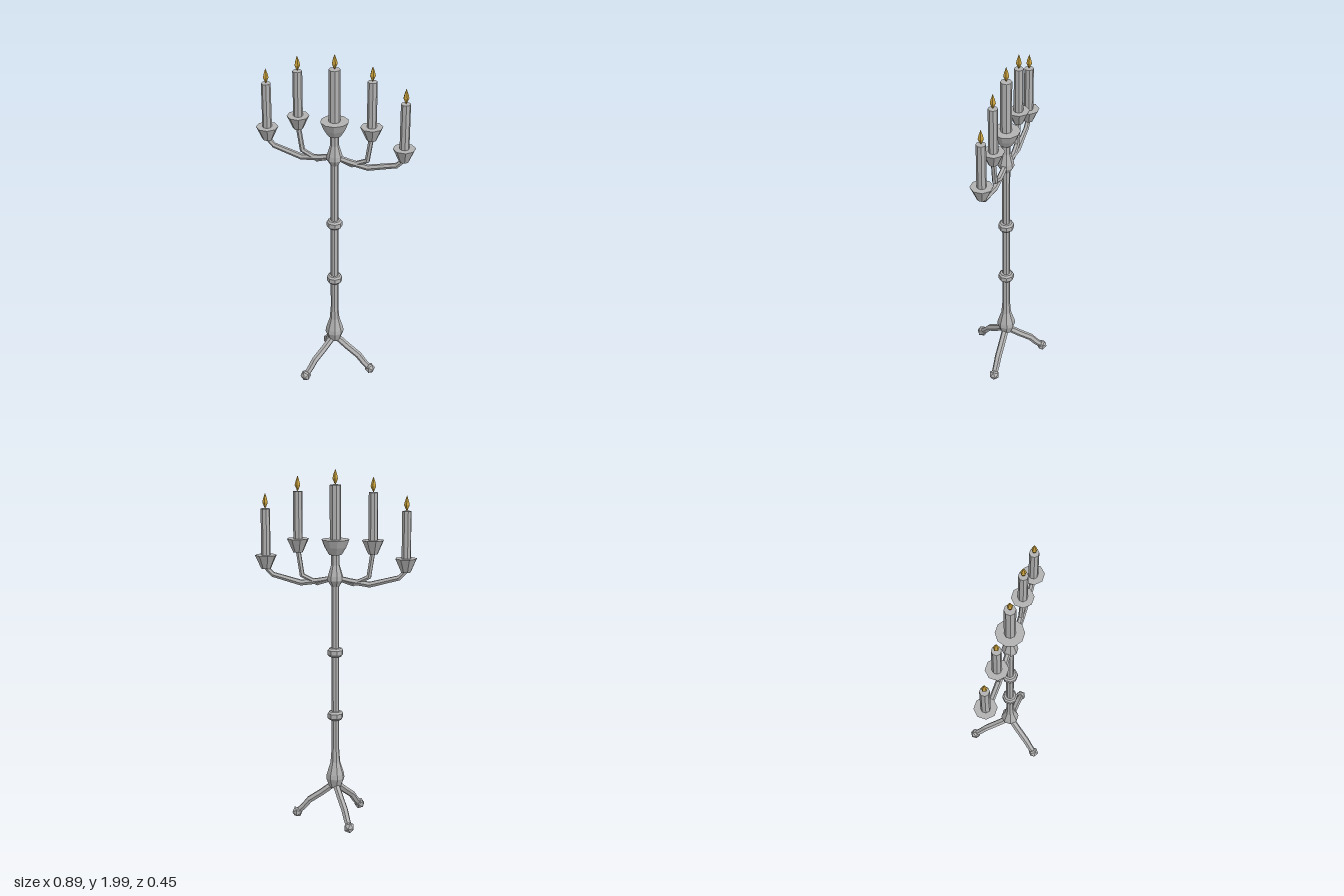
import * as THREE from 'three';

const metal = new THREE.MeshStandardMaterial({ color: 0xb2b2b2 });
metal.name = 'greyMetal';
const gold = new THREE.MeshStandardMaterial({ color: 0xc8a03c });
gold.name = 'flameGold';

// Faceted mesh: every face keeps its own normal
function part(name, geometry, material = metal) {
  const flat = geometry.toNonIndexed();
  flat.computeVertexNormals();
  const mesh = new THREE.Mesh(flat, material);
  mesh.name = name;
  return mesh;
}

// Turned shape from [radius, height] pairs, bottom to top
function turned(name, profile, sides, material, start = Math.PI / sides) {
  const pts = profile.map(([r, y]) => new THREE.Vector2(r, y));
  return part(name, new THREE.LatheGeometry(pts, sides, start), material);
}

// Bent bar swept along a polyline in the xy plane, points are [x, y, radius]
function bar(name, path, sides = 6) {
  const pos = [], index = [];
  path.forEach(([x, y, r], i) => {
    const p = path[Math.max(i - 1, 0)], q = path[Math.min(i + 1, path.length - 1)];
    const t = new THREE.Vector2(q[0] - p[0], q[1] - p[1]).normalize();
    for (let j = 0; j < sides; j++) {
      const a = ((j + 0.5) / sides) * Math.PI * 2;
      const n = r * Math.cos(a);
      pos.push(x - t.y * n, y + t.x * n, r * Math.sin(a));
      if (i === path.length - 1) continue;
      const k = (j + 1) % sides, u = i * sides, v = u + sides;
      index.push(u + j, u + k, v + k, u + j, v + k, v + j);
    }
  });
  const g = new THREE.BufferGeometry();
  g.setAttribute('position', new THREE.Float32BufferAttribute(pos, 3));
  g.setIndex(index);
  return part(name, g);
}

// Drip cup, candle and flame
function candleHolder(name, x, cupY, cupProfile, cupSides, candleR, candleTop) {
  const g = new THREE.Group();
  g.name = name;
  const cup = turned('cup', cupProfile, cupSides);
  cup.position.y = cupY;
  const rim = cupY + cupProfile[cupProfile.length - 1][1];
  const candle = turned('candle',
    [[candleR, rim - 0.01], [candleR, candleTop], [0, candleTop]], 8);
  const flame = turned('flame',
    [[0, 0], [0.005, 0.008], [0.016, 0.033], [0.011, 0.055], [0, 0.085]], 5, gold);
  flame.position.y = candleTop;
  g.add(cup, candle, flame);
  g.position.x = x;
  return g;
}

export function createModel() {
  const model = new THREE.Group();
  model.name = 'candelabrum';

  // Central stem with bulb at the foot and knob under the top cup
  model.add(turned('stem', [
    [0, 0.2], [0.033, 0.2], [0.053, 0.255], [0.05, 0.28], [0.028, 0.35], [0.022, 0.43],
    [0.022, 1.36], [0.044, 1.395], [0.042, 1.42], [0.024, 1.48], [0.024, 1.55],
  ], 8));

  // Collars
  for (const y of [0.625, 0.99]) {
    const collar = turned('collar', [
      [0.021, -0.025], [0.034, -0.024], [0.044, -0.013],
      [0.044, 0.013], [0.034, 0.024], [0.021, 0.025],
    ], 8);
    collar.position.y = y;
    model.add(collar);
  }

  // Three legs with ball feet
  for (let i = 0; i < 3; i++) {
    const leg = new THREE.Group();
    leg.name = 'leg';
    const foot = part('foot', new THREE.IcosahedronGeometry(0.031, 0));
    foot.scale.y = 1.05;
    foot.position.set(0.222, 0.034, 0);
    leg.add(foot, bar('legBar', [
      [0, 0.225, 0.02], [0.08, 0.162, 0.02], [0.15, 0.113, 0.02],
      [0.185, 0.07, 0.019], [0.222, 0.036, 0.017],
    ]));
    leg.rotation.y = (i * Math.PI * 2) / 3;
    model.add(leg);
  }

  // Arms, mirrored left and right
  const outerArm = [[0, 1.41, 0.015], [0.08, 1.392, 0.017], [0.19, 1.376, 0.017],
    [0.35, 1.418, 0.015], [0.39, 1.46, 0.014]];
  const innerArm = [[0, 1.41, 0.014], [0.1, 1.378, 0.015],
    [0.185, 1.418, 0.015], [0.207, 1.56, 0.014]];
  for (const turn of [0, Math.PI]) {
    const arms = new THREE.Group();
    arms.name = turn ? 'rightArms' : 'leftArms';
    arms.add(bar('outerArm', outerArm), bar('innerArm', innerArm));
    arms.rotation.y = turn;
    model.add(arms);
  }

  // Candle holders
  const smallCup = [[0, 0], [0.027, 0], [0.044, 0.038], [0.061, 0.075], [0, 0.075]];
  for (const s of [-1, 1]) {
    model.add(candleHolder('outerHolder', s * 0.388, 1.45, smallCup, 8, 0.026, 1.78));
    model.add(candleHolder('innerHolder', s * 0.207, 1.545, smallCup, 8, 0.026, 1.877));
  }
  const bigCup = [[0, 0], [0.036, 0], [0.06, 0.04], [0.077, 0.083], [0, 0.083]];
  model.add(candleHolder('centreHolder', 0, 1.537, bigCup, 10, 0.031, 1.915));

  return model;
}
